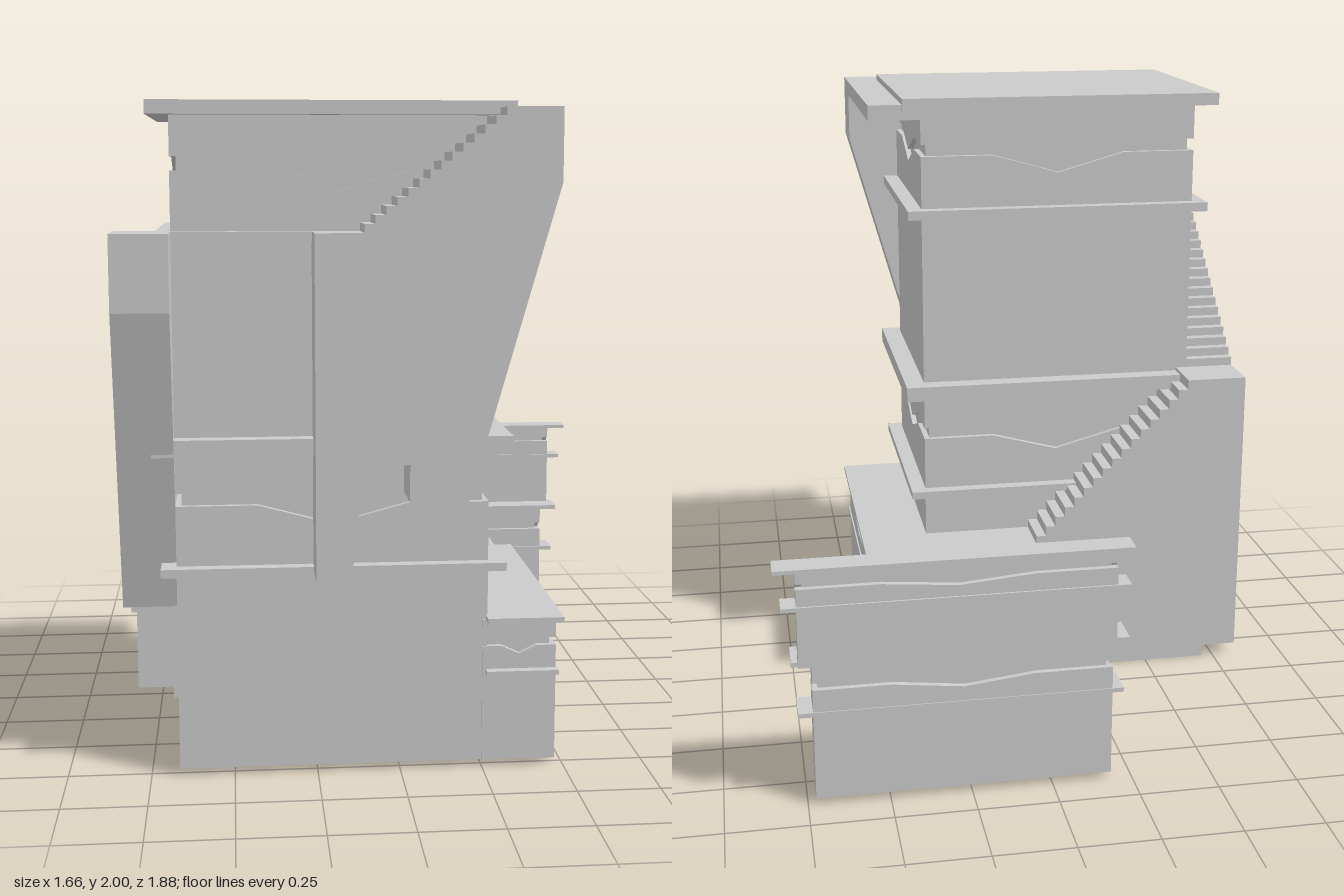
import * as THREE from 'three';

const material = new THREE.MeshStandardMaterial({ color: 0xcccccc, flatShading: true });
const T = 0.018; // depth of the carved grooves

function mesh(name, geometry) {
  const m = new THREE.Mesh(geometry, material);
  m.name = name;
  return m;
}

// Box given by its extents
function block(name, [x0, x1], [y0, y1], [z0, z1]) {
  const m = mesh(name, new THREE.BoxGeometry(x1 - x0, y1 - y0, z1 - z0));
  m.position.set((x0 + x1) / 2, (y0 + y1) / 2, (z0 + z1) / 2);
  return m;
}

function extrude(name, points, depth, holes = []) {
  const shape = new THREE.Shape(points.map(([x, y]) => new THREE.Vector2(x, y)));
  shape.holes.push(...holes);
  return mesh(name, new THREE.ExtrudeGeometry(shape, { depth, bevelEnabled: false, curveSegments: 8 }));
}

// Block with a V-dipping groove carved around all four faces
function grooved(name, [x0, x1], [y0, y1], [z0, z1], [g0, g1], dip) {
  const g = new THREE.Group();
  g.name = name;
  const w = x1 - x0, d = z1 - z0, cx = (x0 + x1) / 2, cz = (z0 + z1) / 2;
  g.add(block(name + 'Core', [x0 + T, x1 - T], [y0, y1], [z0 + T, z1 - T]));
  for (let i = 0; i < 4; i++) {
    const side = i % 2 === 1;
    const e = (side ? d - 2 * T : w) / 2;       // half length of the panel
    const h = (side ? d : w) * 0.24;            // half width of the dip
    const line = y => [[-e, y], [-h, y], [0, y - dip], [h, y], [e, y]];
    const face = new THREE.Group();
    face.add(
      extrude(name + 'LowerPanel', [[-e, y0], [e, y0], ...line(g0).reverse()], T),
      extrude(name + 'UpperPanel', [...line(g1), [e, y1], [-e, y1]], T));
    for (const p of face.children) p.position.z = (side ? w : d) / 2 - T;
    face.position.set(cx, 0, cz);
    face.rotation.y = i * Math.PI / 2;
    g.add(face);
  }
  return g;
}

// Corner points of a rising flight of n steps
function steps(s0, y0, s1, y1, n) {
  const pts = [];
  for (let i = 0; i < n; i++) {
    const s = s0 + (s1 - s0) * i / n;
    pts.push([s, y0 + (y1 - y0) * i / n], [s, y0 + (y1 - y0) * (i + 1) / n]);
  }
  return pts;
}

function buildTower() {
  const g = new THREE.Group();
  g.name = 'tower';
  const X = [-0.665, 0.265], Z = [0.05, 0.77];
  g.add(
    block('towerBase', X, [0.02, 0.62], Z),
    grooved('lowerStorey', X, [0.645, 0.98], Z, [0.825, 0.863], 0.06),
    block('middleStorey', X, [1.03, 1.6], Z),
    grooved('topStorey', X, [1.63, 1.96], Z, [1.803, 1.843], 0.063),
    block('baseLedge', [-0.71, 0.315], [0.62, 0.645], [0.01, 0.81]),
    block('middleLedge', [-0.73, 0.33], [0.98, 1.03], [-0.01, 0.82]),
    block('upperLedge', [-0.71, 0.315], [1.6, 1.63], [0.01, 0.81]),
    block('roof', [-0.73, 0.33], [1.96, 2], [-0.01, 0.82]),
    block('roofWalkway', [0.25, 0.44], [1.93, 1.98], [0.005, 0.8]));
  return g;
}

function buildStairs() {
  const g = new THREE.Group();
  g.name = 'stairs';
  // Solid flight at the back, climbing towards -x
  const back = extrude('backStair', [
    ...steps(0.1, 0.47, 0.66, 1.04, 17), [0.83, 1.04], [0.83, 0.04], [0.71, 0.04], [0.71, 0], [0.1, 0],
  ], 0.165);
  back.rotation.y = Math.PI;
  back.position.z = 0.05;
  // Side flight, climbing towards +z
  const side = extrude('sideStair', [
    [-0.115, 1.04], ...steps(0.05, 1.04, 0.77, 1.63, 21), [0.77, 1.63], [0.94, 1.63], [0.94, 1.41],
    [0.68, 0.5], [0.33, 0.5], [0.33, 0.385], [0.03, 0.385], [0, 0.04], [-0.115, 0.04],
  ], 0.165);
  side.rotation.y = -Math.PI / 2;
  side.position.x = -0.665;
  // Front flight, climbing towards +x
  const front = extrude('frontStair', [
    [-0.26, 1.63], ...steps(-0.12, 1.63, 0.31, 1.98, 14), [0.31, 1.98], [0.44, 1.98], [0.44, 1.77],
    [0.18, 0.86], [0.01, 0.86], [0.01, 0.97], [-0.12, 0.97], [-0.16, 0.63], [-0.26, 0.63],
  ], 0.17);
  front.position.z = 0.77;
  g.add(back, side, front);
  return g;
}

function buildAnnex() {
  const g = new THREE.Group();
  g.name = 'annex';
  const Y = [0.02, 0.46], G = [0.378, 0.402];
  g.add(
    grooved('annexWing', [0.25, 0.475], Y, [0, 0.775], G, 0.025),
    grooved('annexRear', [-0.12, 0.48], Y, [-0.112, 0.05], G, 0.025));
  for (const [name, y, o] of [['annexRoof', [0.46, 0.475], 0.012], ['annexLedge', [0.293, 0.307], 0]]) {
    g.add(
      block(name, [0.26, 0.48 + o], y, [-0.11 - o, 0.805 + o]),
      block(name + 'Rear', [-0.13 - o, 0.48 + o], y, [-0.118 - o, 0.05]));
  }
  return g;
}

function buildGateWall() {
  const g = new THREE.Group();
  g.name = 'gateWall';
  const Y = [0.02, 0.46], G = [0.378, 0.402];
  g.add(
    grooved('lowerWall', [-0.185, 0.725], Y, [-0.887, -0.79], G, 0.025),
    grooved('porch', [-0.04, 0.245], Y, [-0.605, -0.612].reverse().map((v, i) => (i ? -0.61 : -0.8)), G, 0.025),
    block('lowerWallLedge', [-0.22, 0.77], [0.293, 0.307], [-0.89, -0.782]),
    block('lowerWallTop', [-0.235, 0.785], [0.46, 0.475], [-0.89, -0.78]),
    block('porchLedge', [-0.05, 0.255], [0.293, 0.307], [-0.603, -0.79].reverse()),
    block('porchRoof', [-0.055, 0.262], [0.46, 0.475], [-0.79, -0.6]));
  // Upper wall, with an arched niche in its front layer
  const arch = new THREE.Path();
  arch.moveTo(0.065, 0.48).lineTo(0.165, 0.48).lineTo(0.165, 0.59);
  arch.absarc(0.115, 0.59, 0.05, 0, Math.PI, false);
  arch.lineTo(0.065, 0.48);
  const layer = extrude('nicheWall', [[-0.185, 0.475], [0.765, 0.475], [0.765, 0.655], [-0.185, 0.655]], 0.035, [arch]);
  layer.position.z = -0.9;
  const frame = new THREE.Shape();
  frame.moveTo(0.05, 0.475).lineTo(0.18, 0.475).lineTo(0.18, 0.59);
  frame.absarc(0.115, 0.59, 0.065, 0, Math.PI, false);
  frame.lineTo(0.05, 0.475);
  frame.holes.push(arch);
  const trim = mesh('nicheFrame', new THREE.ExtrudeGeometry(frame, { depth: 0.008, bevelEnabled: false, curveSegments: 8 }));
  trim.position.z = -0.867;
  g.add(layer, trim,
    block('upperWallBack', [-0.185, 0.765], [0.475, 0.655], [-0.93, -0.9]),
    grooved('upperWallFrieze', [-0.185, 0.765], [0.668, 0.775], [-0.93, -0.865], [0.722, 0.738], 0.02),
    block('upperWallLedge', [-0.225, 0.81], [0.655, 0.668], [-0.936, -0.86]),
    block('upperWallTop', [-0.235, 0.83], [0.775, 0.787], [-0.94, -0.857]));
  return g;
}

export function createModel() {
  const model = new THREE.Group();
  model.name = 'fortress';
  model.add(buildTower(), buildStairs(), buildAnnex(), buildGateWall());
  return model;
}
